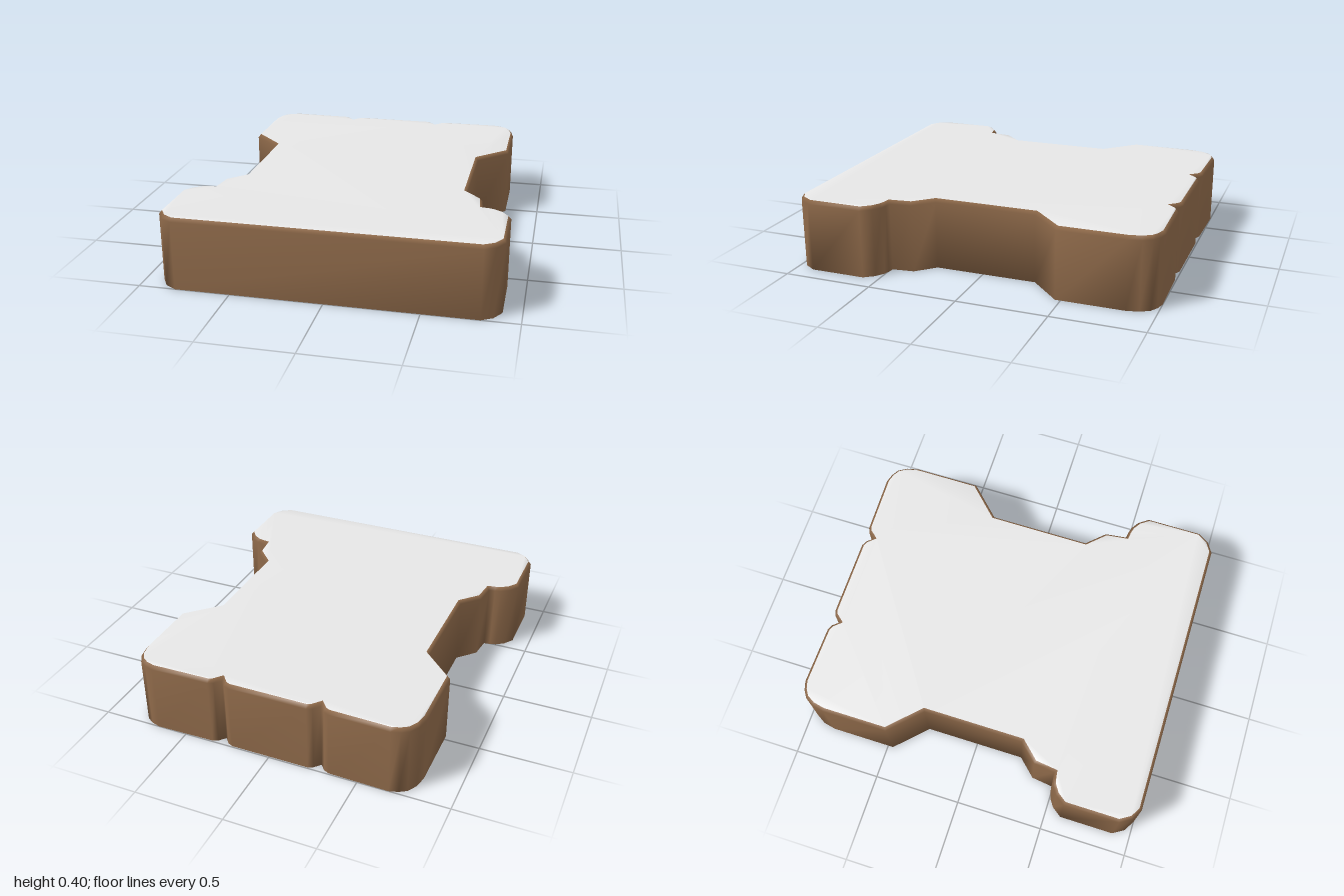
import * as THREE from 'three';

const HEIGHT = 0.4;
const BEVEL = 0.02;

// Right half of the tower outline as [x, z], from the front of the foot to the battlements
const HALF = [
  [0.8, 1], [0.86, 0.965], [0.9, 0.9], [0.9, 0.59], [0.86, 0.535], [0.815, 0.505], [0.78, 0.495],
  [0.745, 0.49], [0.73, 0.37], [0.635, 0.27], [0.635, -0.3], [0.805, -0.47], [0.805, -0.84],
  [0.79, -0.91], [0.76, -0.96], [0.72, -0.985], [0.67, -1], [0.34, -0.993], [0.31, -0.98],
  [0.28, -0.945], [0.25, -0.98], [0.22, -0.993],
];

// Full outline, counter-clockwise in (x, -z)
function makeOutline() {
  const right = HALF.map(([x, z]) => new THREE.Vector2(x, -z));
  const left = right.map((p) => new THREE.Vector2(-p.x, p.y)).reverse();
  return [...right, ...left];
}

// Move every outline point inwards along its mitre
function inset(points, distance) {
  const n = points.length;
  const inward = (a, b) => new THREE.Vector2(a.y - b.y, b.x - a.x).normalize();
  return points.map((p, i) => {
    const n1 = inward(points[(i + n - 1) % n], p);
    const n2 = inward(p, points[(i + 1) % n]);
    const mitre = n1.clone().add(n2).divideScalar(1 + n1.dot(n2));
    return p.clone().addScaledVector(mitre, distance);
  });
}

// Rings for the bottom, the upper wall edge and the bevelled top edge, with shared smooth normals
function makePlate() {
  const outline = makeOutline();
  const n = outline.length;
  const rings = [
    [outline, 0],
    [outline, HEIGHT - BEVEL],
    [inset(outline, BEVEL * 0.8), HEIGHT],
  ];
  const positions = rings.flatMap(([pts, y]) => pts.flatMap((p) => [p.x, y, -p.y]));
  const index = [];

  // walls and bevel
  for (let r = 0; r < 2; r++) {
    for (let i = 0; i < n; i++) {
      const a = r * n + i;
      const b = r * n + ((i + 1) % n);
      index.push(a, b, b + n, a, b + n, a + n);
    }
  }
  // underside
  for (const [a, b, c] of THREE.ShapeUtils.triangulateShape(outline, [])) index.push(a, c, b);
  const sideCount = index.length;
  // top face
  for (const [a, b, c] of THREE.ShapeUtils.triangulateShape(rings[2][0], [])) {
    index.push(a + 2 * n, b + 2 * n, c + 2 * n);
  }

  const geometry = new THREE.BufferGeometry();
  geometry.setAttribute('position', new THREE.Float32BufferAttribute(positions, 3));
  geometry.setIndex(index);
  geometry.addGroup(0, sideCount, 0);
  geometry.addGroup(sideCount, index.length - sideCount, 1);
  geometry.computeVertexNormals();
  return geometry;
}

export function createModel() {
  const brown = new THREE.MeshStandardMaterial({ color: 0x8f6a4a });
  brown.name = 'brown side';
  const white = new THREE.MeshStandardMaterial({ color: 0xe6e6e6 });
  white.name = 'white face';

  const group = new THREE.Group();
  group.name = 'towerTile';
  const plate = new THREE.Mesh(makePlate(), [brown, white]);
  plate.name = 'towerPlate';
  group.add(plate);
  return group;
}
